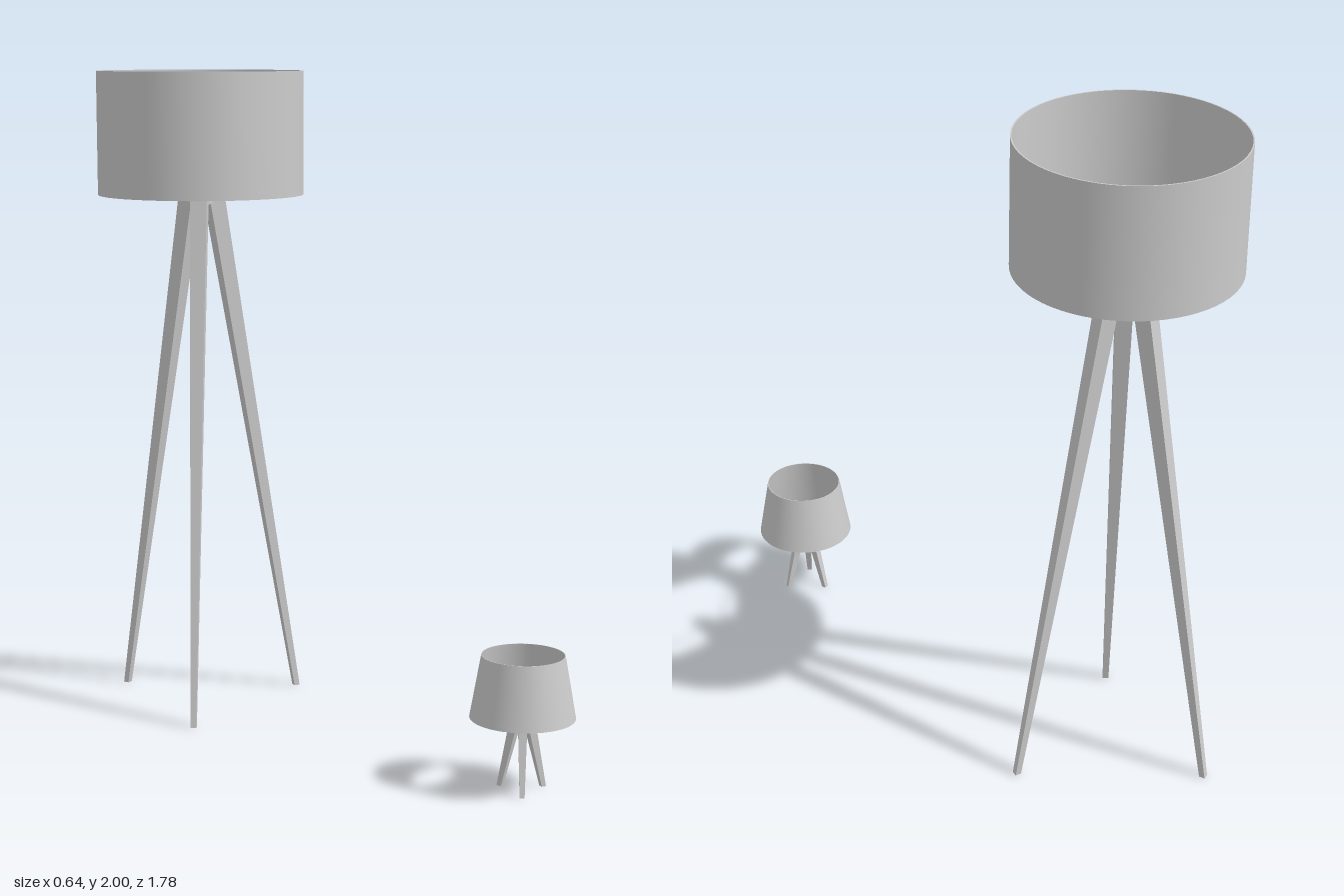
import * as THREE from 'three';

const material = new THREE.MeshStandardMaterial({ color: 0xcccccc, side: THREE.DoubleSide });
const lerp = THREE.MathUtils.lerp;

function add(parent, name, geometry) {
  const mesh = new THREE.Mesh(geometry, material);
  mesh.name = name;
  parent.add(mesh);
  return mesh;
}

// Tapered square leg leaning out along +x, cut level at both ends
function legGeometry({ height, footRadius, topRadius, footWidth, topWidth }) {
  const geometry = new THREE.BoxGeometry(1, 1, 1);
  const p = geometry.attributes.position;
  for (let i = 0; i < p.count; i++) {
    const t = p.getY(i) + 0.5;
    const width = lerp(footWidth, topWidth, t);
    p.setXYZ(i, lerp(footRadius, topRadius, t) + p.getX(i) * width, t * height, p.getZ(i) * width);
  }
  geometry.computeVertexNormals();
  return geometry;
}

// Thin-walled open shade; repeated corner points keep the rims sharp
function shadeGeometry({ bottom, top, bottomRadius, topRadius, wall }) {
  const a = [bottomRadius, bottom], b = [topRadius, top];
  const c = [topRadius - wall, top], d = [bottomRadius - wall, bottom];
  const profile = [a, b, b, c, c, d, d, a].map(([x, y]) => new THREE.Vector2(x, y));
  return new THREE.LatheGeometry(profile, 64);
}

function rod(from, to, radius) {
  return new THREE.TubeGeometry(new THREE.LineCurve3(from, to), 1, radius, 6);
}

function createLamp(name, spec) {
  const lamp = new THREE.Group();
  lamp.name = name;
  const { leg, shade, bulbRadius: r, rodRadius } = spec;
  const y = leg.height;

  add(lamp, 'shade', shadeGeometry(shade));

  // Three legs, each with a shade support rod above it
  for (let i = 0; i < 3; i++) {
    const arm = new THREE.Group();
    arm.name = 'tripodArm';
    arm.rotation.y = -THREE.MathUtils.degToRad(20 + i * 120);
    add(arm, 'leg', legGeometry(leg));
    add(arm, 'shadeSupport', rod(
      new THREE.Vector3(0, y + r, 0),
      new THREE.Vector3(shade.bottomRadius - shade.wall, shade.bottom + rodRadius, 0), rodRadius));
    lamp.add(arm);
  }

  // Hub joining the leg tops, and the bulb socket
  add(lamp, 'hub', new THREE.CylinderGeometry(r * 1.15, r * 1.15, r, 24)).position.y = y - r * 0.4;
  add(lamp, 'socket', new THREE.CylinderGeometry(r * 0.55, r * 0.55, r * 1.3, 24)).position.y = y + r * 0.7;
  add(lamp, 'socketCollar', new THREE.CylinderGeometry(r * 0.8, r * 0.8, r * 0.25, 24)).position.y = y + r;

  // Bulb with a narrow neck swelling to a round top
  const bulb = new THREE.SplineCurve([
    [0.5, 0], [0.55, 0.5], [0.9, 1.1], [1, 1.6], [0.71, 2.3], [0, 2.6],
  ].map(([x, h]) => new THREE.Vector2(x * r, h * r))).getPoints(24);
  bulb[bulb.length - 1].x = 0;
  add(lamp, 'bulb', new THREE.LatheGeometry(bulb, 32)).position.y = y + r * 1.2;
  return lamp;
}

export function createModel() {
  const model = new THREE.Group();
  model.name = 'tripodLamps';

  const floorLamp = createLamp('floorLamp', {
    leg: { height: 1.62, footRadius: 0.322, topRadius: 0.042, footWidth: 0.018, topWidth: 0.052 },
    shade: { bottom: 1.62, top: 2, bottomRadius: 0.319, topRadius: 0.319, wall: 0.004 },
    bulbRadius: 0.033,
    rodRadius: 0.003,
  });
  floorLamp.position.z = -0.558;

  const tableLamp = createLamp('tableLamp', {
    leg: { height: 0.215, footRadius: 0.07, topRadius: 0.018, footWidth: 0.014, topWidth: 0.027 },
    shade: { bottom: 0.212, top: 0.393, bottomRadius: 0.15, topRadius: 0.118, wall: 0.002 },
    bulbRadius: 0.014,
    rodRadius: 0.0015,
  });
  tableLamp.position.z = 0.743;

  model.add(floorLamp, tableLamp);
  return model;
}
